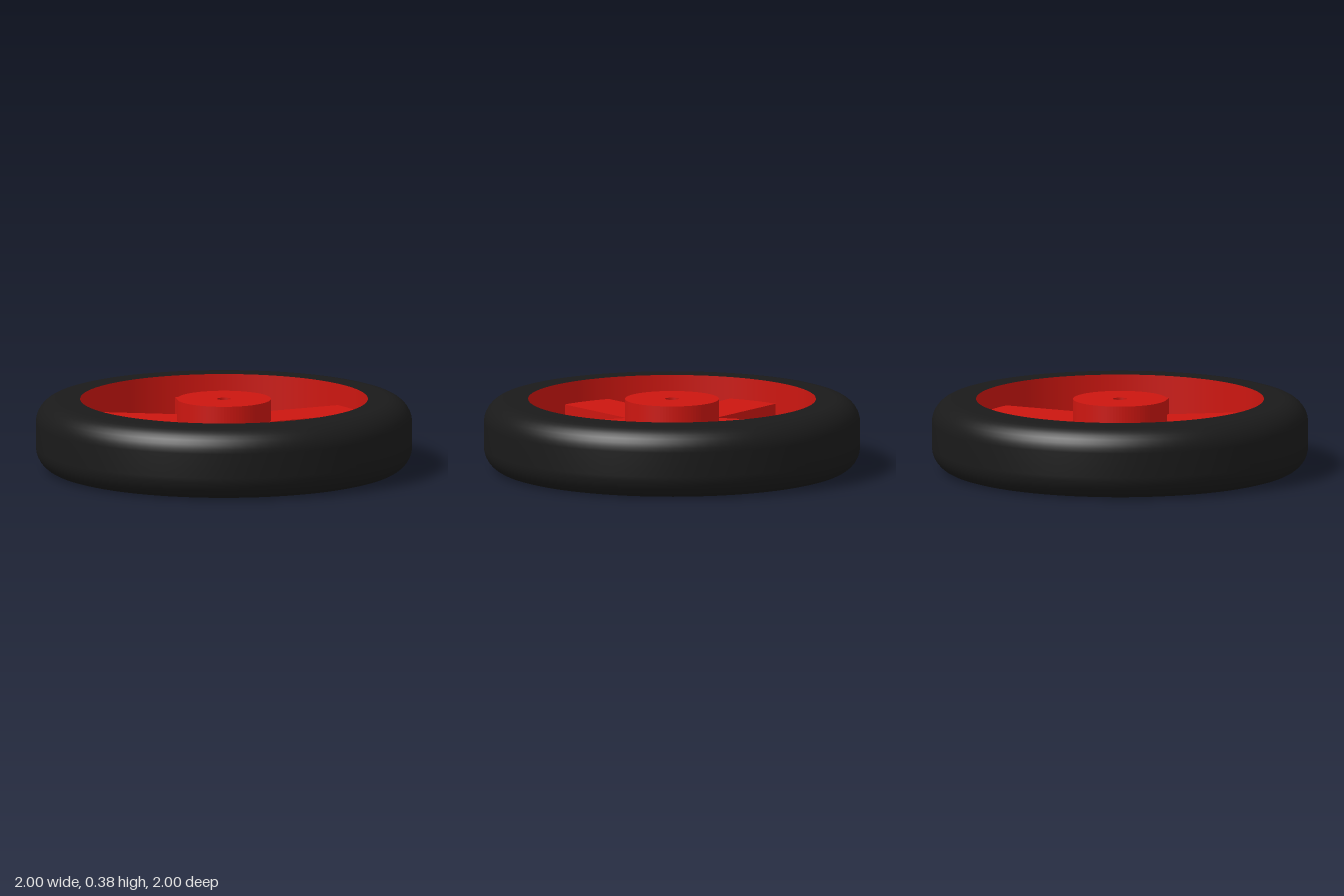
import * as THREE from 'three';

const HEIGHT = 0.38, MID = HEIGHT / 2;
const OUTER = 1, INNER = 0.765, CORNER = 0.125;
const HUB = 0.25, BORE = 0.037;
const SPOKE_WIDTH = 0.294, SPOKE_HEIGHT = 0.148, SPOKES = 5;

export function createModel() {
  const wheel = new THREE.Group();
  wheel.name = 'wheel';
  const black = new THREE.MeshStandardMaterial({ color: 0x1a1a1a });
  const red = new THREE.MeshStandardMaterial({ color: 0xcc1610 });

  const add = (name, geometry, material, parent = wheel) => {
    const mesh = new THREE.Mesh(geometry, material);
    mesh.name = name;
    parent.add(mesh);
    return mesh;
  };

  // Tyre: flat sides and tread joined by rounded shoulders, swept bottom to top
  const profile = [new THREE.Vector2(INNER, 0)];
  const shoulder = (cy, from) => {
    for (let i = 0; i <= 8; i++) {
      const a = from + (i / 8) * Math.PI / 2;
      profile.push(new THREE.Vector2(
        OUTER - CORNER + CORNER * Math.cos(a), cy + CORNER * Math.sin(a)));
    }
  };
  shoulder(CORNER, -Math.PI / 2);
  shoulder(HEIGHT - CORNER, 0);
  profile.push(new THREE.Vector2(INNER, HEIGHT));
  add('tyre', new THREE.LatheGeometry(profile, 96), black);

  // Rim: inner wall facing the hub
  const wall = [new THREE.Vector2(INNER, HEIGHT), new THREE.Vector2(INNER, 0)];
  add('rim', new THREE.LatheGeometry(wall, 96), red);

  // Hub: full-height disc with an axle bore
  const disc = new THREE.Shape().absarc(0, 0, HUB, 0, Math.PI * 2);
  disc.holes.push(new THREE.Path().absarc(0, 0, BORE, 0, Math.PI * 2, true));
  const hub = new THREE.ExtrudeGeometry(disc, {
    depth: HEIGHT, bevelEnabled: false, curveSegments: 48,
  });
  hub.rotateX(-Math.PI / 2);
  add('hub', hub, red);

  // Spokes: straight bars from inside the hub into the rim, first one to the front
  const spokes = new THREE.Group();
  spokes.name = 'spokes';
  wheel.add(spokes);
  const start = 0.18, end = INNER + 0.01;
  const bar = new THREE.BoxGeometry(SPOKE_WIDTH, SPOKE_HEIGHT, end - start);
  bar.translate(0, MID, (start + end) / 2);
  for (let i = 0; i < SPOKES; i++) {
    add('spoke' + (i + 1), bar, red, spokes).rotation.y = (i / SPOKES) * Math.PI * 2;
  }

  return wheel;
}
